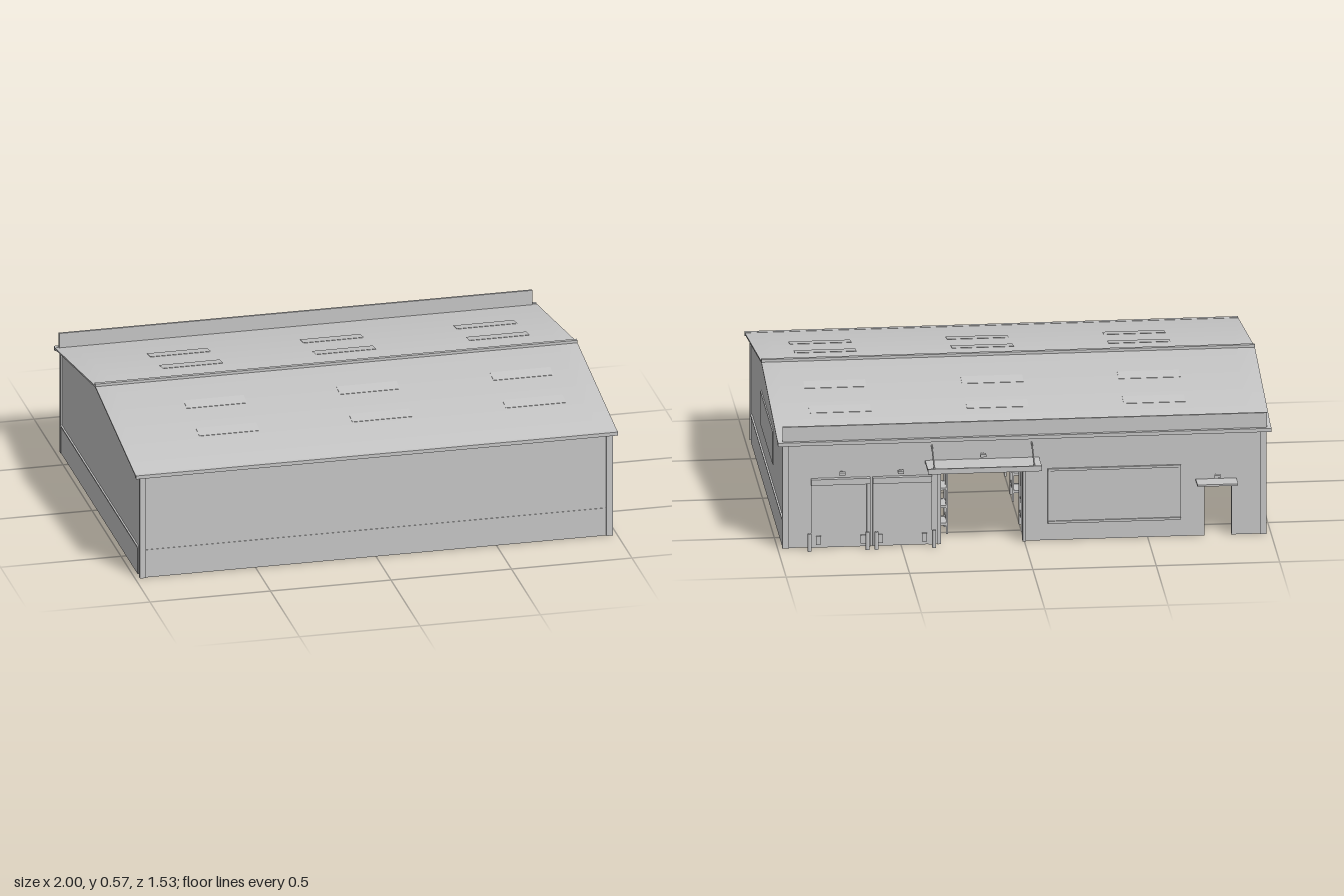
import * as THREE from 'three';

export function createModel() {
  const root = new THREE.Group();
  root.name = 'warehouse';
  const grey = new THREE.MeshStandardMaterial({ color: 0xc6c6c6 });
  grey.name = 'grey metal';

  const add = (name, geo, parent = root) => {
    const mesh = new THREE.Mesh(geo, grey);
    mesh.name = name;
    parent.add(mesh);
    return mesh;
  };
  // box given by its minimum and maximum corners
  const box = (name, x0, x1, y0, y1, z0, z1, parent = root) => {
    const m = add(name, new THREE.BoxGeometry(x1 - x0, y1 - y0, z1 - z0), parent);
    m.position.set((x0 + x1) / 2, (y0 + y1) / 2, (z0 + z1) / 2);
    return m;
  };
  const group = (name) => {
    const g = new THREE.Group();
    g.name = name;
    root.add(g);
    return g;
  };
  const rod = (name, a, b, r, parent = root) => {
    const path = new THREE.LineCurve3(new THREE.Vector3(...a), new THREE.Vector3(...b));
    return add(name, new THREE.TubeGeometry(path, 1, r, 6), parent);
  };

  const FRONT = 0.74, BACK = -0.635, EAVE = 0.44;
  const RIDGE_Z = 0.052, RIDGE_Y = 0.565, ROOF = 0.007, HALF = 0.703;
  const SLOPE = (RIDGE_Y - 0.452) / HALF;
  const roofY = (z) => RIDGE_Y - Math.abs(z - RIDGE_Z) * SLOPE;

  // walls
  box('frontWall', -0.97, 0.97, 0, 0.446, FRONT - 0.015, FRONT);
  const gable = new THREE.Shape([[BACK + 0.001, 0], [FRONT - 0.001, 0], [FRONT - 0.001, roofY(FRONT) - ROOF],
    [RIDGE_Z, RIDGE_Y - ROOF], [BACK + 0.001, roofY(BACK) - ROOF]].map(([z, y]) => new THREE.Vector2(-z, y)));
  for (const s of [-1, 1]) {
    const geo = new THREE.ExtrudeGeometry(gable, { depth: 0.014, bevelEnabled: false });
    add('gableWall', geo.rotateY(Math.PI / 2)).position.x = s * 0.968 - 0.007;
  }

  // back wall with the open loading bay and the staff doorway
  const back = new THREE.Shape([[-0.97, 0], [-0.84, 0], [-0.84, 0.22], [-0.73, 0.22], [-0.73, 0], [0, 0],
    [0, 0.3], [0.34, 0.3], [0.34, 0], [0.97, 0], [0.97, EAVE], [-0.97, EAVE]].map((p) => new THREE.Vector2(...p)));
  add('backWall', new THREE.ExtrudeGeometry(back, { depth: 0.015, bevelEnabled: false })).position.z = BACK;

  // lower cladding, corner trims and inner wall columns
  box('frontPlinth', -0.955, 0.955, 0, 0.12, FRONT, FRONT + 0.002);
  for (const s of [-1, 1]) {
    box('sidePlinth', s * 0.977 - 0.002, s * 0.977 + 0.002, 0, 0.118, -0.62, 0.7);
    box('plinthTrim', s * 0.978 - 0.004, s * 0.978 + 0.004, 0.117, 0.123, -0.62, 0.7);
    box('frontCornerTrim', s * 0.968 - 0.013, s * 0.968 + 0.013, 0, EAVE, 0.735, 0.748);
    box('backCornerTrim', s * 0.968 - 0.013, s * 0.968 + 0.013, 0, EAVE, -0.641, -0.62);
    for (const z of [-0.45, -0.1, 0.25, 0.59])
      box('wallColumn', s * 0.952 - 0.009, s * 0.952 + 0.009, 0, EAVE, z - 0.01, z + 0.01);
  }
  box('sidePanel', 0.973, 0.98, 0.215, 0.355, -0.215, 0.31);

  // roof sheet folded at the ridge, softly shaded across it
  const sheet = new THREE.BoxGeometry(2, ROOF, HALF * 2, 24, 1, 2);
  const pos = sheet.attributes.position;
  for (let i = 0; i < pos.count; i++) pos.setY(i, pos.getY(i) - Math.abs(pos.getZ(i)) * SLOPE);
  sheet.computeVertexNormals();
  add('roof', sheet).position.set(0, RIDGE_Y - ROOF / 2, RIDGE_Z);
  box('ridgeCap', -1, 1, 0.56, 0.575, RIDGE_Z - 0.008, RIDGE_Z + 0.008);
  box('frontGutter', -1, 1, 0.44, 0.455, 0.745, 0.763);
  box('backGutter', -1, 1, 0.44, 0.455, -0.66, -0.643);
  box('parapet', -0.983, 0.98, 0.44, 0.517, -0.645, -0.635);

  // roof lights lying almost flush on both slopes
  const lights = group('roofLights');
  for (const x of [-0.55, 0.085, 0.722])
    for (const z of [0.255, 0.47, -0.16, -0.372]) {
      const m = add('roofLight', new THREE.BoxGeometry(0.25, 0.003, 0.062), lights);
      m.position.set(x, roofY(z), z);
      m.rotation.x = Math.sign(z - RIDGE_Z) * Math.atan(SLOPE);
    }

  // two closed loading doors
  for (const x of [0.745, 0.495]) {
    const door = group('loadingDoor');
    box('doorLeaf', x - 0.11, x + 0.11, 0, 0.28, -0.641, -0.63, door);
    box('shutterBox', x - 0.12, x + 0.12, 0.268, 0.293, -0.655, -0.635, door);
    for (const s of [-1, 1]) {
      box('doorGuide', x + s * 0.113 - 0.007, x + s * 0.113 + 0.007, 0, 0.28, -0.646, -0.63, door);
      box('dockBumper', x + s * 0.09 - 0.01, x + s * 0.09 + 0.01, 0.015, 0.05, -0.651, -0.635, door);
    }
  }
  // open loading bay frame
  for (const x of [0, 0.345]) box('bayJamb', x - 0.007, x + 0.007, 0, 0.3, -0.646, -0.615);
  box('bayHeader', -0.007, 0.352, 0.3, 0.312, -0.646, -0.615);

  // bollards guarding the doors
  for (const x of [0.875, 0.64, 0.604, 0.37])
    add('bollard', new THREE.CylinderGeometry(0.008, 0.008, 0.075, 12)).position.set(x, 0.0375, -0.685);

  // large canopy with tie rods, and the small staff-door canopy
  box('bayCanopy', -0.06, 0.402, 0.345, 0.355, -0.762, -0.635);
  box('canopyFascia', -0.06, 0.402, 0.338, 0.36, -0.765, -0.757);
  for (const x of [-0.03, 0.375]) rod('canopyTie', [x, 0.42, -0.637], [x, 0.354, -0.755], 0.003);
  box('staffDoorCanopy', -0.86, -0.695, 0.232, 0.24, -0.71, -0.635);
  for (const x of [-0.845, -0.725]) box('staffDoorJamb', x - 0.005, x + 0.005, 0, 0.22, -0.64, -0.618);

  // wall lamps above the doors
  for (const [x, y] of [[0.17, 0.38], [0.503, 0.32], [0.74, 0.32], [-0.78, 0.26]]) {
    const lamp = group('wallLamp');
    box('lampArm', x - 0.004, x + 0.004, y - 0.005, y, -0.665, -0.635, lamp);
    box('lampHead', x - 0.012, x + 0.012, y - 0.005, y + 0.006, -0.677, -0.658, lamp);
  }

  // big framed wall panel
  box('wallPanel', -0.63, -0.1, 0.075, 0.3, -0.638, -0.633);
  for (const y of [0.077, 0.3]) box('panelRail', -0.635, -0.095, y - 0.005, y + 0.005, -0.644, -0.633);
  for (const x of [-0.63, -0.1]) box('panelEdge', x - 0.005, x + 0.005, 0.075, 0.3, -0.641, -0.633);

  // open-framed storage racks in rows either side of the central aisle
  for (const z of [-0.47, -0.09, 0.23, 0.59])
    for (const x of [0.73, 0.44, -0.14, -0.455]) {
      const rack = group('storageRack');
      for (const sx of [-1, 1]) {
        const px = x + sx * 0.138;
        for (const sz of [-1, 1]) {
          const pz = z + sz * 0.045;
          box('upright', px - 0.004, px + 0.004, 0, 0.37, pz - 0.004, pz + 0.004, rack);
        }
        for (const y of [0.06, 0.34]) rod('tie', [px, y, z - 0.045], [px, y, z + 0.045], 0.003, rack);
        rod('brace', [px, 0.06, z - 0.045], [px, 0.34, z + 0.045], 0.003, rack);
      }
      for (let i = 0; i < 5; i++) {
        const y = 0.04 + i * 0.075;
        box('shelf', x - 0.138, x + 0.138, y, y + 0.005, z - 0.04, z + 0.04, rack);
        for (const sz of [-1, 1])
          box('beam', x - 0.138, x + 0.138, y - 0.004, y + 0.006, z + sz * 0.045 - 0.003, z + sz * 0.045 + 0.003, rack);
      }
    }

  return root;
}
